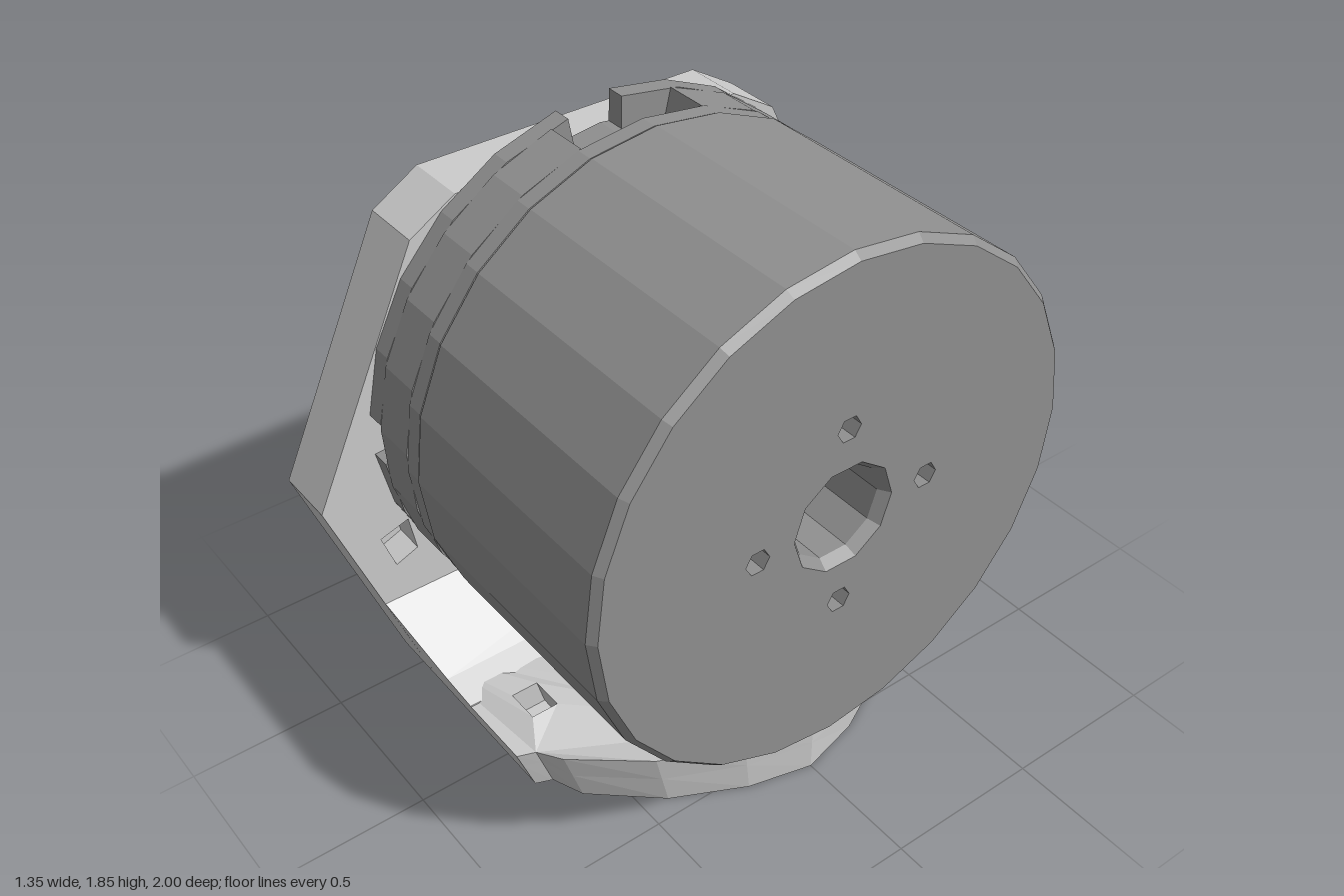
import * as THREE from 'three';

const AXIS = 1.03;   // height of the motor axis
const R = 0.82;      // motor radius
const SIDES = 24;
const paint = (color) => new THREE.MeshStandardMaterial({ color, flatShading: true, side: THREE.DoubleSide });
const lightGrey = paint(0xcccccc);
const darkGrey = paint(0x909090);

const points = (list) => list.map(([x, y]) => new THREE.Vector2(x, y));

function ngon(cx, cy, r, n) {
  return Array.from({ length: n }, (_, i) => {
    const a = (i / n) * Math.PI * 2;
    return [cx + r * Math.cos(a), cy + r * Math.sin(a)];
  });
}

function shapeOf(outline, holes = []) {
  const shape = new THREE.Shape(points(outline));
  shape.holes = holes.map((h) => new THREE.Path(points(h)));
  return shape;
}

const extrude = (shape, depth) => new THREE.ExtrudeGeometry(shape, { depth, bevelEnabled: false });

// Extrude a (z, y) shape along x from x0 to x1
const alongX = (shape, x0, x1) => extrude(shape, x1 - x0).rotateY(Math.PI / 2).translate(x0, 0, 0);

// Mirror a half outline (x, y) across one axis
const mirrorX = (half) => [...half, ...half.map(([x, y]) => [-x, y]).reverse()];
const mirrorY = (half) => [...half, ...half.map(([x, y]) => [x, -y]).reverse()];

// Solid of revolution about the motor axis, profile as [radius, x]
function turned(profile, sides = SIDES) {
  return new THREE.LatheGeometry(points(profile), sides).rotateZ(-Math.PI / 2).translate(0, AXIS, 0);
}

// Sector of a ring, angles in radians measured from the -z side
function sector(a0, a1, rIn, x0, x1) {
  const n = Math.max(2, Math.ceil(((a1 - a0) / (Math.PI * 2)) * SIDES));
  const arc = (r) => Array.from({ length: n + 1 }, (_, i) => {
    const a = a0 + ((a1 - a0) * i) / n;
    return [r * Math.cos(a), AXIS + r * Math.sin(a)];
  });
  return alongX(shapeOf([...arc(R - 0.005), ...arc(rIn).reverse()]), x0, x1);
}

// Move every vertex by a rule
function reshape(g, rule) {
  const p = g.attributes.position;
  const v = new THREE.Vector3();
  for (let i = 0; i < p.count; i++) {
    rule(v.fromBufferAttribute(p, i));
    p.setXYZ(i, v.x, v.y, v.z);
  }
  g.computeVertexNormals();
  return g;
}

// Sides of the bracket lean outward with height
const lean = (v) => { v.z *= 1 + 0.515 * v.y; };

// One layer of the upright plate, with the given pair of side openings
function plateLayer(x0, x1, opening) {
  const holes = [ngon(0, AXIS, 0.15, 8)];
  for (const s of [-1, 1]) {
    for (const dy of [-0.36, 0.36]) holes.push(ngon(s * 0.34, AXIS + dy, 0.06, 6));
    holes.push(opening.map(([x, y]) => [s * x, y]));
  }
  return alongX(shapeOf(mirrorX([[0.7, 0], [1, 0.83], [0.63, 1.6], [0.48, 1.69]]), holes), x0, x1);
}

// One layer of the rounded foot, with screw holes and a pair of edge slots
function footLayer(y0, y1, holeRadius, slotX) {
  const half = [[-0.41, 0.7], [0.15, 0.7], [0.17, 0.65], [0.27, 0.61], [0.44, 0.42], [0.55, 0.2], [0.6, 0]];
  const holes = ngon(0.13, 0, 0.29, 4).map(([x, z]) => ngon(x, z, holeRadius, 6));
  for (const s of [-1, 1]) {
    holes.push([[-0.055, 0.51], [0.055, 0.51], [0.055, 0.59], [-0.055, 0.59]].map(([x, z]) => [slotX + x, s * z]));
  }
  const g = extrude(shapeOf(mirrorY(half), holes), y1 - y0).rotateX(-Math.PI / 2).translate(0, y0, 0);
  return reshape(g, (v) => {
    if (v.y > 0.15 && Math.abs(v.z) > 0.63) v.y = 0.155;
    lean(v);
  });
}

export function createModel() {
  const model = new THREE.Group();
  const group = (name, material) => {
    const g = new THREE.Group();
    g.name = name;
    model.add(g);
    return (partName, geometry) => {
      const mesh = new THREE.Mesh(geometry, material);
      mesh.name = partName;
      g.add(mesh);
    };
  };
  const addBracket = group('bracket', lightGrey);
  const addMotor = group('motor', darkGrey);

  // Upright plate: square pockets inside, six-sided openings outside
  addBracket('plateInner', plateLayer(-0.51, -0.41, [[0.83, 0.65], [0.735, 0.68], [0.715, 0.56], [0.79, 0.53]]));
  addBracket('plateOuter', plateLayer(-0.61, -0.51, ngon(0.83, 0.77, 0.065, 6)));

  // Foot: narrow screw holes below, wide recesses above
  addBracket('footLower', footLayer(0, 0.1, 0.05, 0.2));
  addBracket('footUpper', footLayer(0.1, 0.19, 0.08, 0.02));

  // Sloped web between plate and foot
  const web = extrude(shapeOf([[-0.41, 0.1], [-0.1, 0.1], [-0.1, 0.16], [-0.2, 0.205], [-0.41, 0.4]]), 1.4);
  addBracket('slopedWeb', reshape(web.translate(0, 0, -0.7), lean));

  // Short rib on the back of the plate, tapering outward
  const ribProfile = [[-0.61, 0.01], [-0.61, 0.365], [-0.65, 0.355], [-0.675, 0.33], [-0.675, 0.04], [-0.66, 0.015]];
  const rib = extrude(shapeOf(ribProfile), 0.22).translate(0, 0, -0.11);
  addBracket('backRib', reshape(rib, (v) => { v.z *= 1 + (v.x + 0.61) * 6; }));

  // Rotating can: shell, end cap with holes, inner core and countersunk bore
  addMotor('canShell', turned([[0.79, -0.145], [R, -0.145], [R, 0.645], [0.8, 0.67], [0.78, 0.67]]));
  const capHoles = [ngon(0, AXIS, 0.172, 10), ...ngon(0, AXIS, 0.295, 4).map(([z, y]) => ngon(z, y, 0.04, 6))];
  addMotor('endCap', alongX(shapeOf(ngon(0, AXIS, 0.8, SIDES), capHoles), 0.59, 0.67));
  addMotor('canCore', turned([[0.18, -0.145], [0.8, -0.145], [0.8, 0.59], [0.18, 0.59], [0.18, -0.145]]));
  addMotor('bore', turned([[0.172, 0.67], [0.15, 0.635], [0.15, -0.145]], 10));

  // Fixed base: solid core and three stacked rings with openings
  addMotor('baseCore', turned([[0, -0.41], [0.72, -0.41], [0.72, -0.145], [0, -0.145]]));
  const top = Math.PI / 2;
  const side = 0.085;
  const full = Math.PI * 2;
  const rearSectors = [
    [side, top - 0.04], [top + 0.18, Math.PI - side], [Math.PI + side, full - side],
  ];
  for (const [a, b] of rearSectors) addMotor('rearRing', sector(a, b, 0.7, -0.41, -0.35));
  addMotor('windowRing', sector(top + 0.25, top - 0.25 + full, 0.7, -0.35, -0.21));
  addMotor('frontRing', sector(0, full, 0.7, -0.21, -0.155));

  return model;
}
